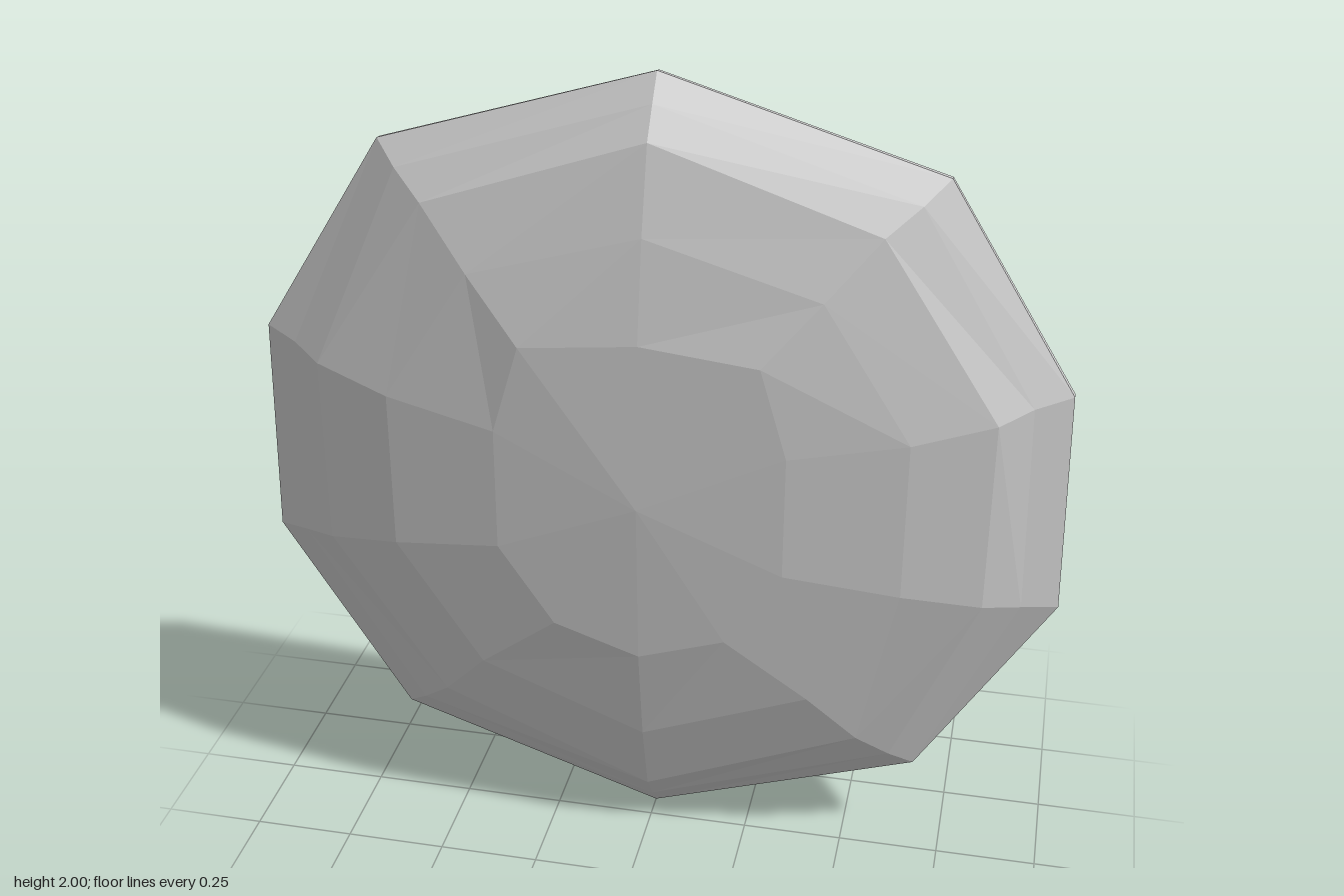
import * as THREE from 'three';

const material = new THREE.MeshStandardMaterial({ color: 0xcccccc, flatShading: true });

// Skin consecutive closed loops of points and cap both ends with fans
function skin(loops, startCentre, endCentre) {
  const n = loops[0].length;
  const pos = [...loops.flat(), startCentre, endCentre].flat();
  const start = loops.length * n, end = start + 1, last = start - n;
  const index = [];
  for (let i = 0; i < n; i++) {
    const j = (i + 1) % n;
    index.push(start, j, i, end, last + i, last + j);
    for (let r = 0; r < loops.length - 1; r++) {
      const a = r * n + i, b = r * n + j;
      index.push(a, b, b + n, a, b + n, a + n);
    }
  }
  let geo = new THREE.BufferGeometry();
  geo.setAttribute('position', new THREE.Float32BufferAttribute(pos, 3));
  geo.setIndex(index);
  geo = geo.toNonIndexed();
  geo.computeVertexNormals();
  return geo;
}

// Ten-sided loop from its +x half (bottom to top), counter-clockwise from the front
function ring(z, half) {
  const mirrored = half.slice(1, -1).reverse().map(([x, y]) => [-x, y]);
  return [...half, ...mirrored].map(([x, y]) => [x, y, z]);
}

export function createModel() {
  const group = new THREE.Group();

  // Domed ten-sided shield, from flat back to front
  const rim = [[0, 0.005], [0.67, 0.23], [0.988, 0.74], [0.972, 1.3], [0.66, 1.8], [0, 2]];
  const dome = skin([
    ring(-0.085, rim.map(([x, y]) => [x, 1 + (y - 1) * 0.995])),
    ring(-0.062, rim),
    ring(-0.01, [[0, 0.065], [0.61, 0.285], [0.9, 0.76], [0.885, 1.285], [0.605, 1.75], [0, 1.94]]),
    ring(0.045, [[0, 0.14], [0.53, 0.36], [0.81, 0.78], [0.81, 1.26], [0.53, 1.69], [0, 1.87]]),
    ring(0.105, [[0, 0.34], [0.41, 0.5], [0.62, 0.82], [0.62, 1.22], [0.41, 1.55], [0, 1.67]]),
    ring(0.153, [[0, 0.6], [0.21, 0.67], [0.345, 0.87], [0.345, 1.18], [0.28, 1.4], [0, 1.43]]),
  ], [0, 1, -0.085], [0, 1.02, 0.175]);
  const shield = new THREE.Mesh(dome, material);
  shield.name = 'shield';
  group.add(shield);

  // Bent grip strap: [outer z, outer y, inner z, inner y, half width]
  const path = [
    [-0.08, 0.74, -0.08, 0.79, 0.065], [-0.15, 0.85, -0.115, 0.88, 0.06],
    [-0.174, 1.0, -0.133, 1.01, 0.056], [-0.174, 1.17, -0.135, 1.15, 0.056],
    [-0.145, 1.265, -0.12, 1.23, 0.06], [-0.08, 1.3, -0.08, 1.25, 0.065],
  ];
  for (const side of [-1, 1]) {
    const cx = side * 0.31;
    // The inboard edge stays straight while the outboard edge flares at the feet
    const sections = path.map(([zo, yo, zi, yi, w]) => {
      const inboard = side * 0.245, outboard = side * (0.245 + 2 * w);
      const a = Math.min(inboard, outboard), b = Math.max(inboard, outboard);
      return [[a, yo, zo], [a, yi, zi], [b, yi, zi], [b, yo, zo]];
    });
    const handle = new THREE.Mesh(skin(sections, [cx, 0.765, -0.08], [cx, 1.275, -0.08]), material);
    handle.name = side > 0 ? 'leftHandle' : 'rightHandle';
    group.add(handle);
  }
  return group;
}
